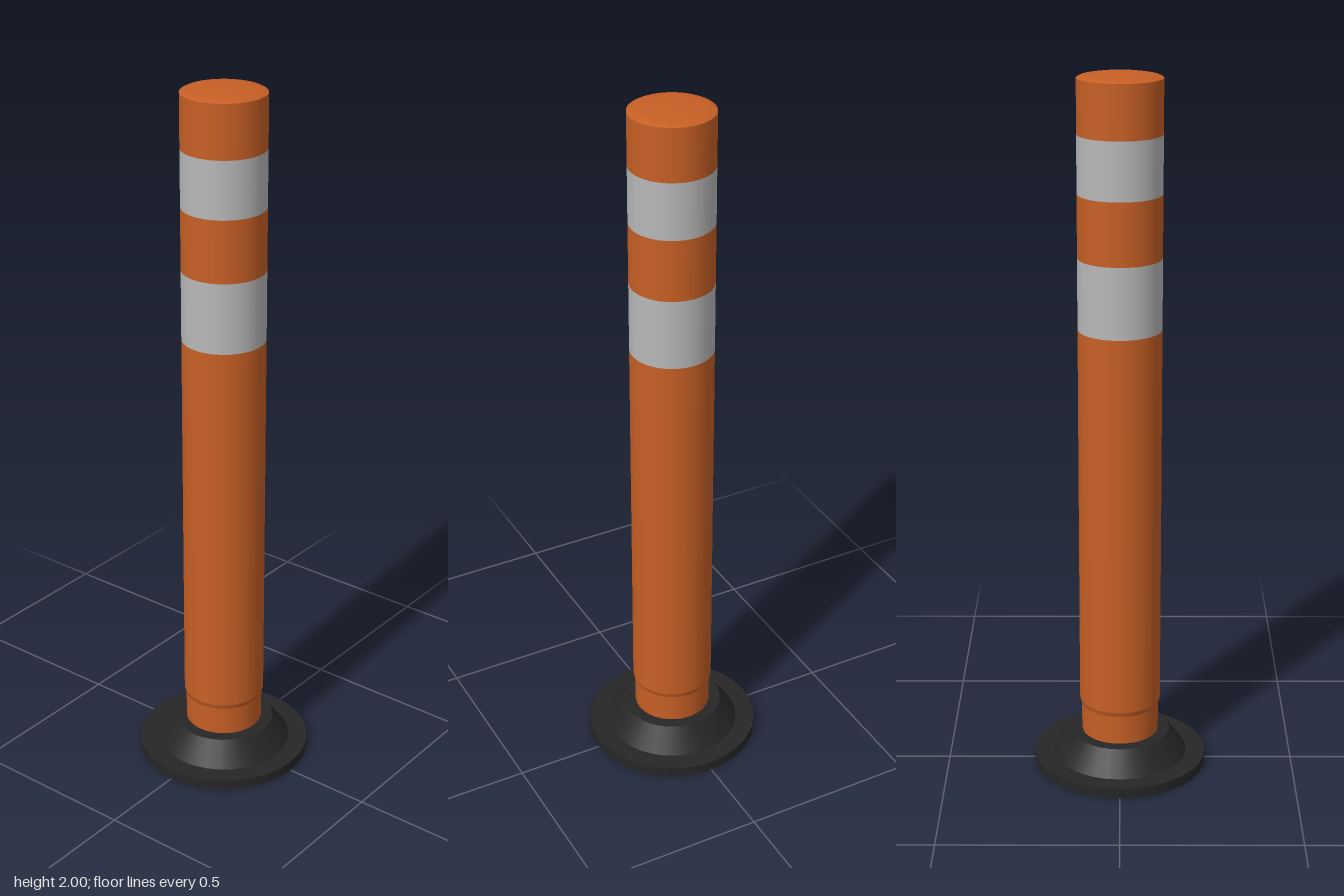
import * as THREE from 'three';

const SIDES = 32;

function material(name, color) {
  const m = new THREE.MeshStandardMaterial({ color });
  m.name = name;
  return m;
}

export function createModel() {
  const orange = material('orange plastic', 0xc75f25);
  const silver = material('reflective silver', 0xb8b8b8);
  const rubber = material('black rubber', 0x262626);

  const model = new THREE.Group();
  model.name = 'delineatorPost';

  function add(name, geometry, mat, y = 0) {
    const mesh = new THREE.Mesh(geometry, mat);
    mesh.name = name;
    mesh.position.y = y;
    model.add(mesh);
  }

  // A round section between two heights, open unless capped
  function section(name, y0, y1, r0, r1, mat, open = true) {
    add(name, new THREE.CylinderGeometry(r1, r0, y1 - y0, SIDES, 1, open), mat, (y0 + y1) / 2);
  }

  // Base: flat flange and tapered collar
  section('baseFlange', 0, 0.03, 0.248, 0.248, rubber, false);
  section('baseCollar', 0.03, 0.1, 0.193, 0.144, rubber, false);

  // Post: narrow neck, then alternating orange and reflective sections
  const R = 0.116;
  section('postNeck', 0.1, 0.185, 0.11, 0.111, orange);
  section('postShoulder', 0.185, 0.2, 0.111, R, orange);
  section('postLower', 0.2, 1.305, R, R, orange);
  section('lowerBand', 1.305, 1.505, R, R, silver);
  section('postMiddle', 1.505, 1.68, R, R, orange);
  section('upperBand', 1.68, 1.84, R, R, silver);
  section('postUpper', 1.84, 1.988, R, R, orange);

  // Shallow domed cap
  const dome = [[R, 1.988], [0.108, 1.992], [0.085, 1.996], [0.04, 1.999], [0, 2]];
  add('topCap', new THREE.LatheGeometry(dome.map(([r, y]) => new THREE.Vector2(r, y)), SIDES), orange);

  return model;
}
